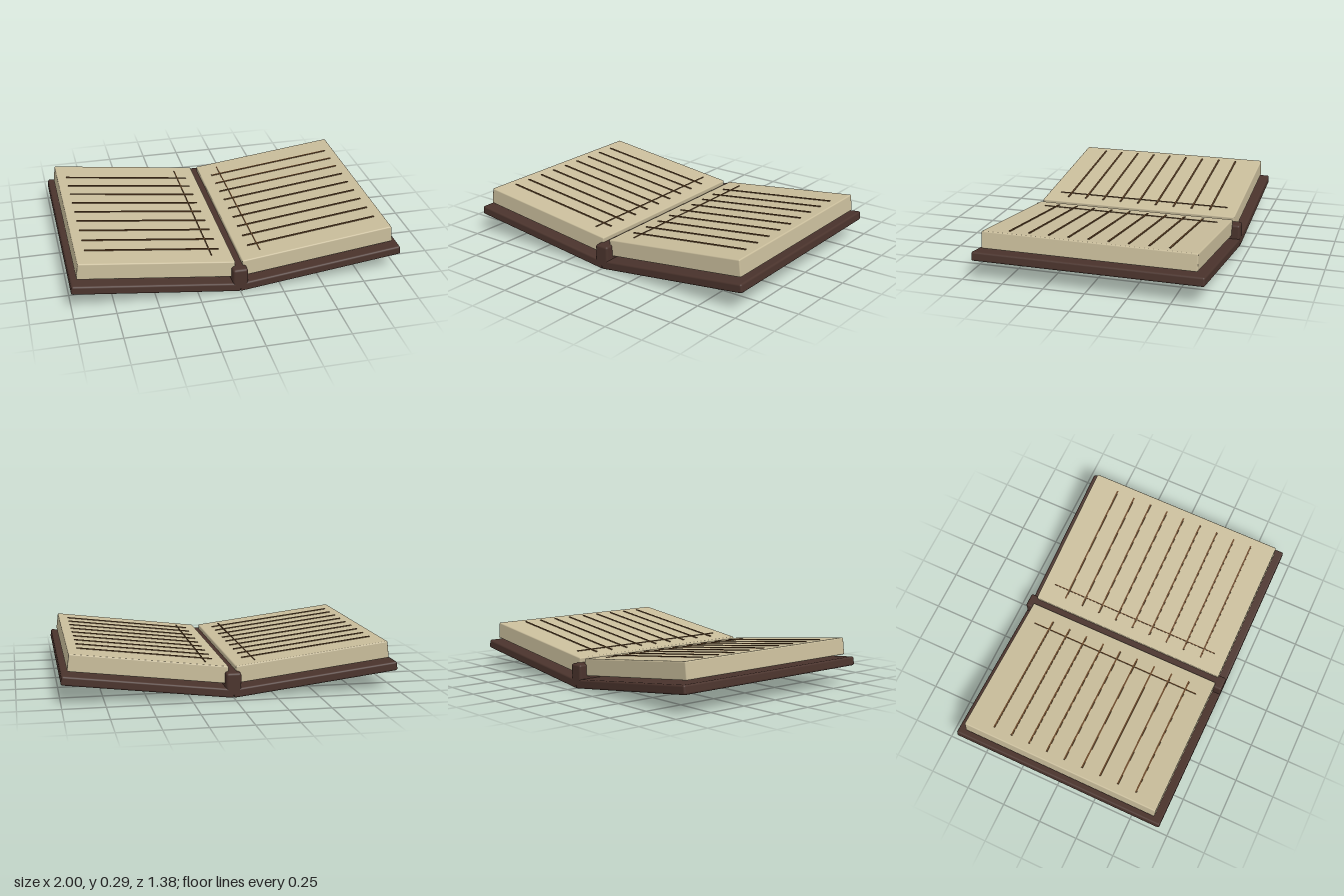
import * as THREE from 'three';
import { RoundedBoxGeometry } from 'three/addons/geometries/RoundedBoxGeometry.js';

const leather = new THREE.MeshStandardMaterial({ name: 'dark leather', color: 0x4a332c });
const paper = new THREE.MeshStandardMaterial({ name: 'aged paper', color: 0xc9bd9b });
const ink = new THREE.MeshStandardMaterial({ name: 'brown ink', color: 0x6e4c2c });

const TILT = 0.122; // each half of the open book rises outwards

// Box given by its limits in x, y, z; a radius softens the edges
function block(name, [x0, x1], [y0, y1], [z0, z1], material, radius = 0) {
  const size = [x1 - x0, y1 - y0, z1 - z0];
  const geometry = radius
    ? new RoundedBoxGeometry(...size, 2, radius)
    : new THREE.BoxGeometry(...size);
  const mesh = new THREE.Mesh(geometry, material);
  mesh.name = name;
  mesh.position.set((x0 + x1) / 2, (y0 + y1) / 2, (z0 + z1) / 2);
  return mesh;
}

// One half of the book, hinged at the bottom of the spine
function createHalf(side) {
  const half = new THREE.Group();
  half.name = side > 0 ? 'leftHalf' : 'rightHalf';
  const span = (a, b) => (side > 0 ? [a, b] : [-b, -a]);

  half.add(block('cover', span(0, 1.008), [0, 0.055], [-0.69, 0.69], leather, 0.012));
  half.add(block('pageBlock', span(0.042, 0.976), [0.072, 0.176], [-0.64, 0.64], paper, 0.008));

  // Ruled lines and the margin line beside the spine
  for (let i = 0; i < 9; i++) {
    const z = 0.01 + (i - 4) * 0.119;
    half.add(block('ruledLine', span(0.112, 0.919), [0.175, 0.181], [z - 0.005, z + 0.005], ink));
  }
  half.add(block('marginLine', span(0.168, 0.174), [0.175, 0.1805], [-0.57, 0.56], ink));

  half.rotation.z = side * TILT;
  return half;
}

export function createModel() {
  const book = new THREE.Group();
  book.name = 'openBook';
  book.add(createHalf(1), createHalf(-1));
  book.add(block('spine', [-0.045, 0.045], [0.012, 0.15], [-0.69, 0.69], leather, 0.014));
  return book;
}
